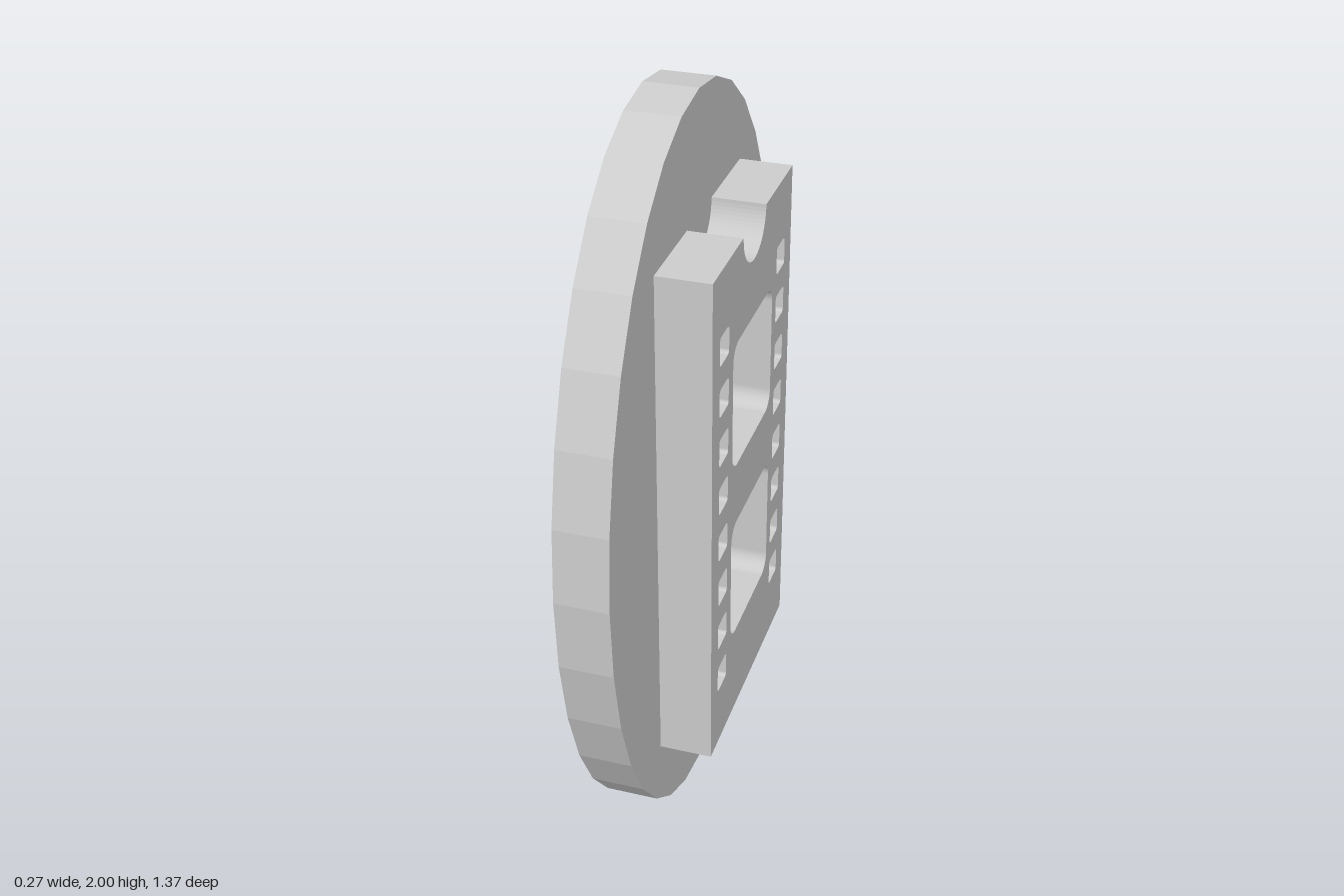
import * as THREE from 'three';

const T = 0.137; // thickness of disc and plate

// Rounded rectangle path centred on (cx, cy)
function roundedRect(cx, cy, w, h, r) {
  const p = new THREE.Path();
  const x0 = cx - w / 2, x1 = cx + w / 2, y0 = cy - h / 2, y1 = cy + h / 2;
  p.moveTo(x0 + r, y0);
  p.lineTo(x1 - r, y0);
  p.absarc(x1 - r, y0 + r, r, -Math.PI / 2, 0);
  p.lineTo(x1, y1 - r);
  p.absarc(x1 - r, y1 - r, r, 0, Math.PI / 2);
  p.lineTo(x0 + r, y1);
  p.absarc(x0 + r, y1 - r, r, Math.PI / 2, Math.PI);
  p.lineTo(x0, y0 + r);
  p.absarc(x0 + r, y0 + r, r, Math.PI, Math.PI * 1.5);
  return p;
}

export function createModel() {
  const group = new THREE.Group();
  const material = new THREE.MeshStandardMaterial({ color: 0xcccccc, flatShading: true });

  // Oval backing disc, 32 flat facets, standing on edge and facing +x
  const discGeo = new THREE.CylinderGeometry(1, 1, T, 32);
  discGeo.rotateZ(-Math.PI / 2).scale(1, 1, 0.685).translate(-T / 2, 1, 0);
  const disc = new THREE.Mesh(discGeo, material);
  disc.name = 'ovalDisc';
  group.add(disc);

  // Plate outline with a half-round notch in the top edge
  const hw = 0.342, bottom = 0.318, top = 1.688, notch = 0.098;
  const shape = new THREE.Shape();
  shape.moveTo(-hw, bottom);
  shape.lineTo(hw, bottom);
  shape.lineTo(hw, top);
  shape.lineTo(notch, top);
  shape.absarc(0, top, notch, 0, -Math.PI, true);
  shape.lineTo(-hw, top);
  shape.closePath();

  // Two windows and a column of sprocket holes on each side
  for (const y of [1.264, 0.746]) shape.holes.push(roundedRect(0, y, 0.345, 0.346, 0.045));
  for (const side of [-1, 1]) {
    for (let i = 0; i < 8; i++) {
      shape.holes.push(roundedRect(side * 0.246, 0.524 + i * 0.137, 0.075, 0.075, 0.01));
    }
  }

  const plateGeo = new THREE.ExtrudeGeometry(shape, { depth: T, bevelEnabled: false, curveSegments: 16 });
  plateGeo.rotateY(Math.PI / 2);
  const plate = new THREE.Mesh(plateGeo, material);
  plate.name = 'perforatedPlate';
  group.add(plate);

  return group;
}
